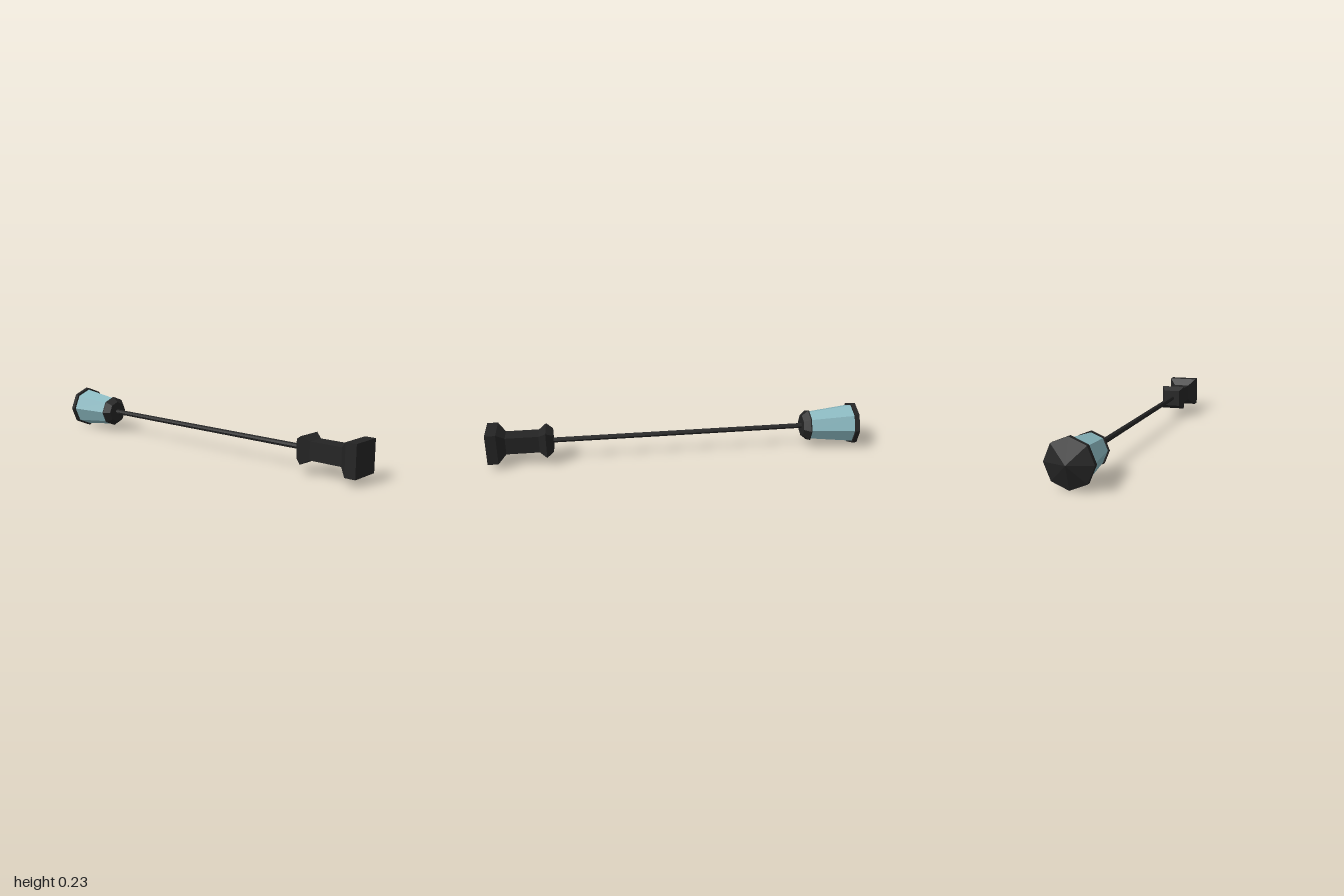
import * as THREE from 'three';

// Faceted lathe from [radius, height] pairs, listed bottom to top
function faceted(name, profile, sides, start, material) {
  const points = profile.map(([r, y]) => new THREE.Vector2(r, y));
  const geometry = new THREE.LatheGeometry(points, sides, start).toNonIndexed();
  geometry.computeVertexNormals();
  const mesh = new THREE.Mesh(geometry, material);
  mesh.name = name;
  return mesh;
}

export function createModel() {
  const iron = new THREE.MeshStandardMaterial({ color: 0x242424 });
  iron.name = 'blackIron';
  const glass = new THREE.MeshStandardMaterial({ color: 0x8ab8c0 });
  glass.name = 'paleBlueGlass';

  const octagon = (name, profile, material) => faceted(name, profile, 8, 0, material);
  // Square sections are given by half their width
  const square = (name, profile) => faceted(
    name, profile.map(([h, y]) => [h * Math.SQRT2, y]), 4, Math.PI / 4, iron);

  const lamp = new THREE.Group();
  lamp.name = 'streetLamp';
  lamp.add(
    // Square foot, pedestal and collar
    square('foot', [[0, -1], [0.081, -1], [0.081, -0.945], [0.045, -0.905]]),
    square('pedestal', [[0.045, -0.905], [0.045, -0.735]]),
    square('pedestalCollar', [[0.045, -0.735], [0.068, -0.698], [0.046, -0.662], [0, -0.662]]),
    // Slim pole
    octagon('pole', [[0.014, -0.67], [0.014, 0.68]], iron),
    // Lantern
    octagon('lanternCup', [[0, 0.67], [0.058, 0.67], [0.085, 0.702], [0.085, 0.708], [0, 0.708]], iron),
    octagon('lanternGlass', [[0.077, 0.705], [0.105, 0.94]], glass),
    octagon('lanternCap', [[0, 0.938], [0.115, 0.938], [0.115, 0.962], [0, 1]], iron),
  );

  // Lay the lamp along z, foot toward the front
  lamp.rotation.x = -Math.PI / 2;
  lamp.position.y = 0.115;

  const model = new THREE.Group();
  model.name = 'lyingStreetLamp';
  model.add(lamp);
  return model;
}
